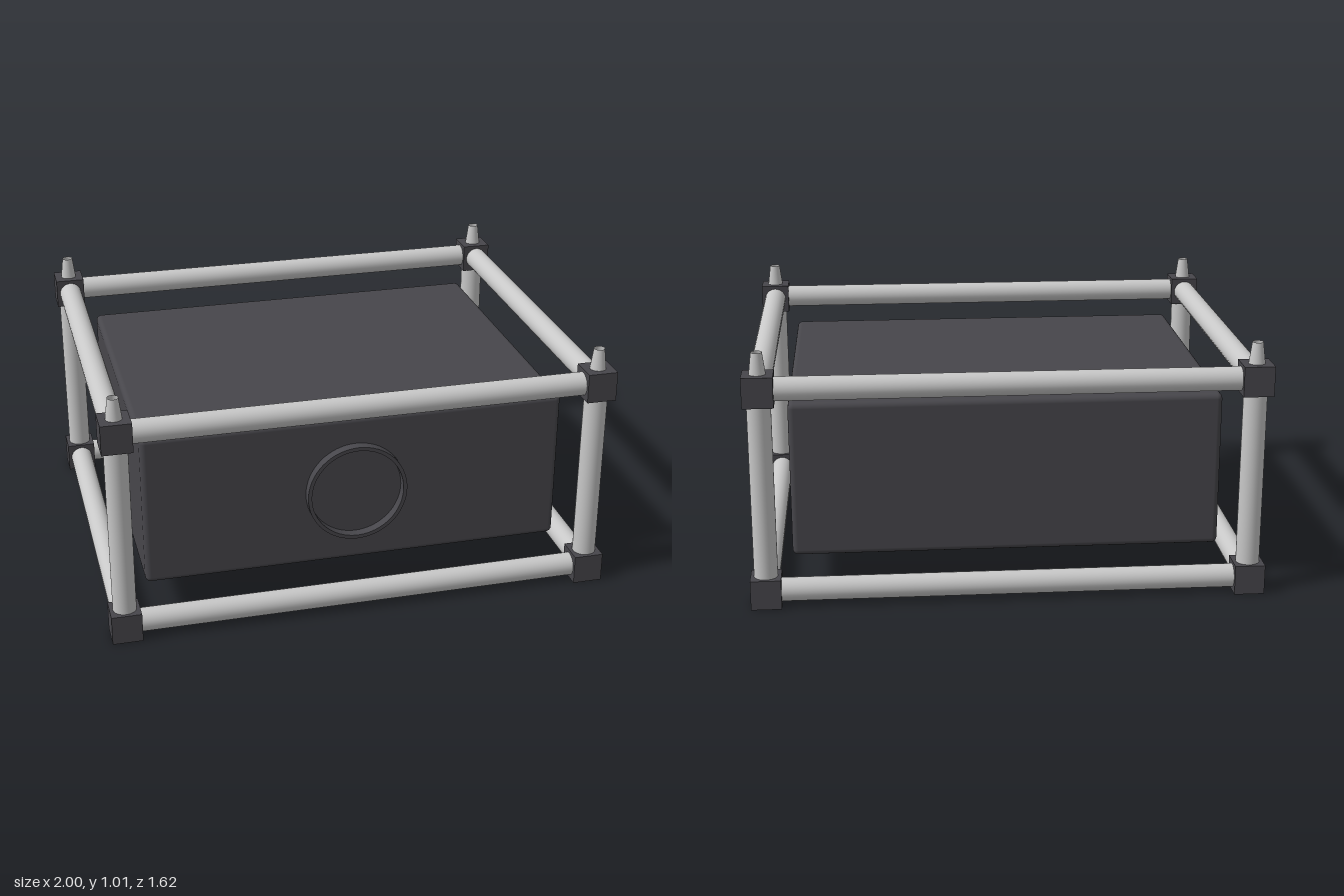
import * as THREE from 'three';
import { RoundedBoxGeometry } from 'three/addons/geometries/RoundedBoxGeometry.js';

export function createModel() {
  const model = new THREE.Group();
  model.name = 'framedCase';
  const charcoal = new THREE.MeshStandardMaterial({ color: 0x47464b });
  charcoal.name = 'charcoal';
  const silver = new THREE.MeshStandardMaterial({ color: 0xc8c8c8, side: THREE.DoubleSide });
  silver.name = 'silver';

  const add = (name, geometry, material, x, y, z) => {
    const mesh = new THREE.Mesh(geometry, material);
    mesh.name = name;
    mesh.position.set(x, y, z);
    model.add(mesh);
    return mesh;
  };

  const X = 0.94, Z = 0.75, LOW = 0.06, HIGH = 0.867, CUBE = 0.118, R = 0.046;
  const levels = [LOW, HIGH];
  const signs = [-1, 1];
  const bar = (length) => new THREE.CylinderGeometry(R, R, length, 32, 1, true);

  // Body with softened edges
  add('body', new RoundedBoxGeometry(1.68, 0.62, 1.3, 3, 0.022), charcoal, 0, 0.465, 0);

  // Shallow round rim on the front face
  const rim = new THREE.Shape().absarc(0, 0, 0.2, 0, Math.PI * 2, false);
  rim.holes.push(new THREE.Path().absarc(0, 0, 0.185, 0, Math.PI * 2, true));
  add('frontRim', new THREE.ExtrudeGeometry(rim, { depth: 0.045, bevelEnabled: false, curveSegments: 32 }),
    charcoal, 0, 0.465, 0.645);

  // Corner blocks
  const block = new THREE.BoxGeometry(CUBE, CUBE, CUBE);
  for (const sx of signs) for (const sz of signs) {
    for (const y of levels) add('cornerBlock', block, charcoal, sx * X, y, sz * Z);

    // Upright and the tapered pin above it
    add('upright', bar(HIGH - LOW), silver, sx * X, (LOW + HIGH) / 2, sz * Z);
    add('stackingPin', new THREE.CylinderGeometry(0.021, 0.032, 0.085, 24, 1, true),
      silver, sx * X, 0.9675, sz * Z);
  }

  // Horizontal rails, low and high
  for (const y of levels) for (const s of signs) {
    add('crossRail', bar(2 * X), silver, 0, y, s * Z).rotation.z = Math.PI / 2;
    add('sideRail', bar(2 * Z), silver, s * X, y, 0).rotation.x = Math.PI / 2;
  }
  return model;
}
